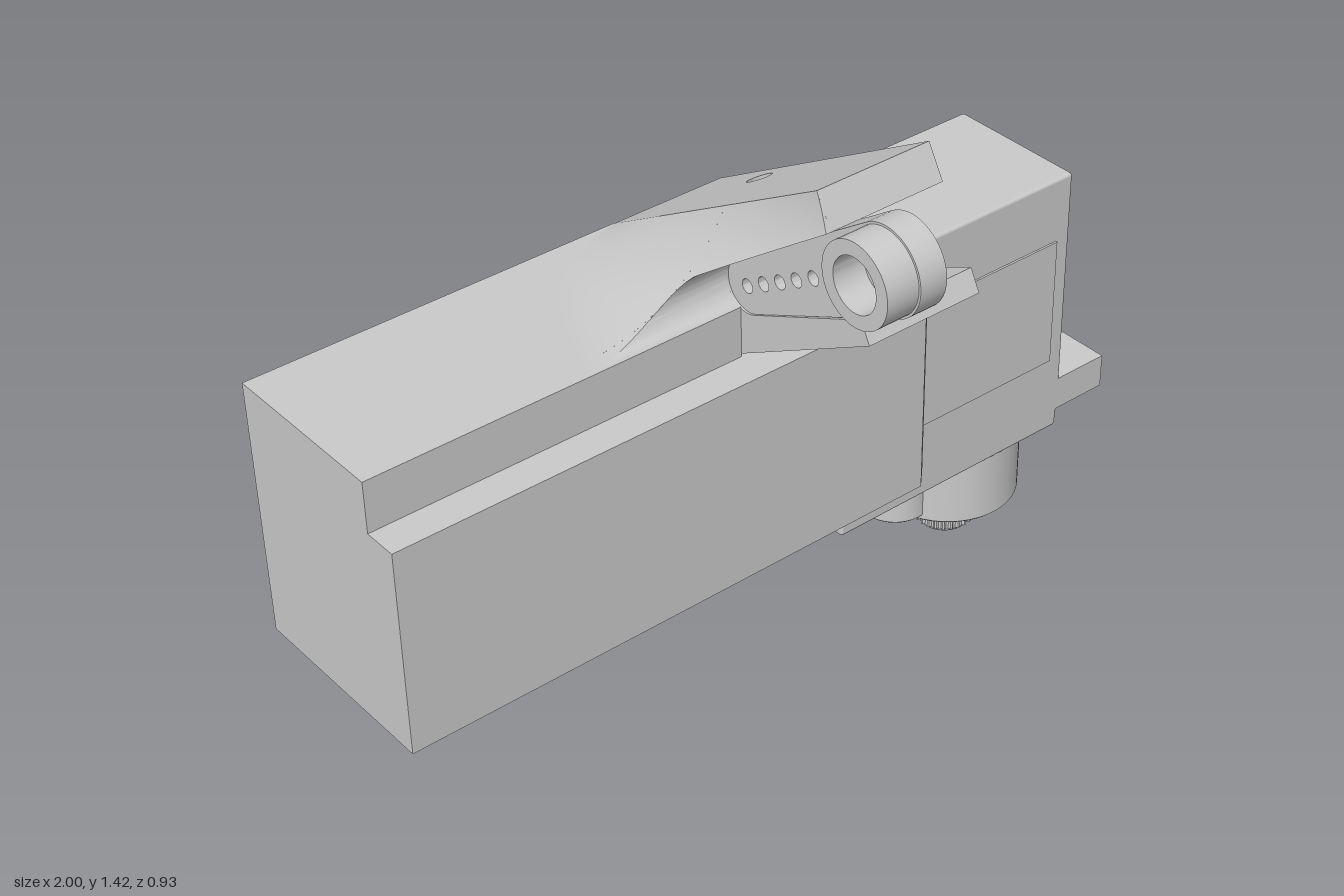
import * as THREE from 'three';
import { toCreasedNormals } from 'three/addons/utils/BufferGeometryUtils.js';
import { RoundedBoxGeometry } from 'three/addons/geometries/RoundedBoxGeometry.js';

const V = (x, y) => new THREE.Vector2(x, y);
const circle = (x, y, r) => new THREE.Path().absarc(x, y, r, 0, Math.PI * 2, true);
const shapeOf = (pts, holes = []) => {
  const s = new THREE.Shape(pts.map(p => V(p[0], p[1])));
  s.holes = holes;
  return s;
};
const extrude = (shape, depth) =>
  new THREE.ExtrudeGeometry(shape, { depth, bevelEnabled: false, curveSegments: 24 });

// Shape drawn in (z, y), extruded from x0 to x1
const alongX = (shape, x0, x1) =>
  toCreasedNormals(extrude(shape, x1 - x0).rotateY(-Math.PI / 2).translate(x1, 0, 0), 0.5);
// Shape drawn in (x, -z), extruded from y0 to y1
const alongY = (shape, y0, y1) => extrude(shape, y1 - y0).rotateX(-Math.PI / 2).translate(0, y0, 0);

// Sloped tower top and the arm outline, which is also the pocket outline
const topY = 1.03, R = 0.404;
const slant = z => topY + (z + 0.465) * 0.5845;
const towerTop = z => Math.min(slant(z), 1.407 - (z - 0.18) * 1.732);
const big = { z: 0.37, y: 1.32, r: 0.097 }, small = { z: -0.035, y: 1.085, r: 0.06 };
const dz = big.z - small.z, dy = big.y - small.y;
const axis = Math.atan2(dy, dz);
const half = Math.acos((small.r - big.r) / Math.hypot(dz, dy));
const upper = axis + half, lower = axis - half; // tangent point directions
const arc = (c, a, b, n = 20) => Array.from({ length: n + 1 }, (_, i) => {
  const t = a + (b - a) * i / n;
  return [c.z + c.r * Math.cos(t), c.y + c.r * Math.sin(t)];
});

// Concave fillet skin through sections [z, low y, high y]
function filletSkin(sections) {
  const rows = sections.map(([z, low, high]) => {
    const h = slant(z), reach = y => Math.sqrt(Math.max(0, R * R - (R - (y - topY)) ** 2));
    const row = [[-0.1, low, z]];
    for (let i = 0; i <= 20; i++) {
      const y = low + (high - low) * (i / 20) ** 2;
      row.push([-0.1 - Math.max(0, reach(h) - reach(y)), y, z]);
    }
    row.push([-0.1, high, z]);
    return row;
  });
  const index = [], n = rows[0].length;
  for (let j = 0; j < rows.length - 1; j++)
    for (let i = 0; i < n - 1; i++) {
      const a = j * n + i, b = a + n;
      index.push(a, b, a + 1, a + 1, b, b + 1);
    }
  const g = new THREE.BufferGeometry();
  g.setAttribute('position', new THREE.Float32BufferAttribute(rows.flat(2), 3));
  g.setIndex(index);
  return toCreasedNormals(g, 0.6);
}

export function createModel() {
  const model = new THREE.Group();
  const grey = new THREE.MeshStandardMaterial({ color: 0xcacaca });
  grey.name = 'light grey';
  const add = (name, geometry) => {
    const m = new THREE.Mesh(geometry, grey);
    m.name = name;
    model.add(m);
  };
  const box = (name, x0, x1, y0, y1, z0, z1, r = 0) => {
    const s = [x1 - x0, y1 - y0, z1 - z0];
    const g = r ? new RoundedBoxGeometry(...s, 2, r) : new THREE.BoxGeometry(...s);
    add(name, g.translate((x0 + x1) / 2, (y0 + y1) / 2, (z0 + z1) / 2));
  };

  // Long body and front plate with one chamfered corner
  box('body', -1, -0.1, 0.415, topY, -0.467, -0.05);
  add('frontPlate', alongY(shapeOf([[-1, 0.063], [-1, -0.03], [0.335, -0.03], [0.375, 0.01],
    [0.375, 0.063]]), 0.415, 0.91));

  // Rear of the tower, with a vertical screw hole and a sloped top
  const rear = alongY(shapeOf([[-0.1, 0.12], [0.185, 0.12], [0.185, 0.467], [-0.1, 0.467]],
    [circle(0.115, 0.25, 0.027)]), 0.415, topY);
  const p = rear.attributes.position;
  for (let i = 0; i < p.count; i++) if (p.getY(i) > 0.9) p.setY(i, slant(p.getZ(i)));
  rear.computeVertexNormals();
  add('towerRear', toCreasedNormals(rear, 0.5));

  // Front of the tower, with a pocket shaped like the arm
  add('towerFront', alongX(shapeOf([[-0.12, 0.415], [-0.063, 0.415], [-0.063, 0.91],
    [0.335, 1.135], [0.31, 1.182], ...arc(small, lower, upper - Math.PI * 2),
    [0.2218, 1.335], [0.18, 1.407], [-0.12, slant(-0.12)]]), -0.1, 0.185));

  // Fillet beside the tower: behind, above and below the pocket
  const z0 = small.z - small.r, behind = [];
  for (let j = 0; j <= 24; j++) {
    const z = -0.465 + (z0 + 0.465) * j / 24;
    behind.push([z, topY, slant(z)]);
  }
  add('filletRear', filletSkin(behind));
  const above = arc(small, Math.PI, upper, 10).map(([z, y]) => [z, y, slant(z)]);
  const [tz, ty] = above[10];
  for (const end of [0.18, 0.2218]) {
    const start = above[above.length - 1][0];
    for (let j = 1; j <= 10; j++) {
      const z = start + (end - start) * j / 10, low = ty + (z - tz) * 0.69;
      above.push([z, low, Math.max(low, towerTop(z))]);
    }
  }
  add('filletUpper', filletSkin(above));
  add('filletLower', filletSkin(arc(small, Math.PI, Math.PI * 1.42, 10)
    .map(([z, y]) => [z, topY, Math.max(topY, y)])));

  // Lever arm with its row of holes and hub
  const holes = [circle(big.z, big.y, 0.034)];
  for (let i = 0; i < 7; i++)
    holes.push(circle(-0.035 + 0.05 * i, 1.085 + 0.0292 * i, 0.016));
  add('arm', alongX(shapeOf([...arc(big, lower, upper, 32),
    ...arc(small, upper, lower + Math.PI * 2)], holes), -0.095, -0.03));
  const hub = new THREE.Shape().absarc(big.z, big.y, 0.092, 0, Math.PI * 2);
  hub.holes = [circle(big.z, big.y, 0.06)];
  add('armHub', alongX(hub, -0.172, -0.09));

  // Motor case, side panels and lower lip
  box('motorCase', 0.19, 0.862, 0.32, 0.96, -0.425, -0.073, 0.008);
  box('motorLip', 0.195, 0.857, 0.282, 0.345, -0.425, -0.073, 0.008);
  box('frontPanel', 0.225, 0.82, 0.48, 0.8, -0.074, -0.068);
  box('backPanel', 0.225, 0.82, 0.48, 0.8, -0.43, -0.424);

  // Mounting ears with keyhole slots, mirrored about the motor centre
  for (const side of [1, -1]) {
    const pts = [[0.3, 0.073], [0.475, 0.073], [0.475, 0.234]];
    for (let i = 0; i <= 24; i++) {
      const t = -0.6 - (Math.PI * 2 - 1.2) * i / 24;
      pts.push([0.415 + 0.028 * Math.cos(t), 0.25 + 0.028 * Math.sin(t)]);
    }
    pts.push([0.475, 0.266], [0.475, 0.425], [0.3, 0.425]);
    add(side > 0 ? 'leftEar' : 'rightEar', toCreasedNormals(
      alongY(shapeOf(pts.map(([d, y]) => [0.525 + side * d, y])), 0.328, 0.412), 0.5));
  }

  // Three connector pins
  for (const z of [-0.21, -0.248, -0.285])
    add('pin', new THREE.CylinderGeometry(0.017, 0.017, 0.08, 20)
      .rotateZ(Math.PI / 2).translate(0.882, 0.817, z));

  // Gear housing, idler housing and toothed output shaft
  const turned = (name, x, pts) =>
    add(name, toCreasedNormals(new THREE.LatheGeometry(pts.map(q => V(q[0], q[1])), 48)
      .translate(x, 0, -0.25), 0.5));
  turned('gearHousing', 0.677, [[0, 0.106], [0.165, 0.106], [0.171, 0.112], [0.171, 0.29]]);
  turned('idlerHousing', 0.515, [[0, 0.12], [0.08, 0.12], [0.085, 0.125], [0.085, 0.29]]);
  turned('shaftCore', 0.677, [[0, 0.07], [0.032, 0.07], [0.032, 0], [0.06, 0], [0.067, 0.012],
    [0.067, 0.112]]);
  const teeth = [];
  for (let i = 0; i < 96; i++) {
    const r = i % 4 < 2 ? 0.073 : 0.066, t = i / 96 * Math.PI * 2;
    teeth.push([0.677 + r * Math.cos(t), 0.25 + r * Math.sin(t)]);
  }
  add('shaftTeeth', alongY(shapeOf(teeth, [circle(0.677, 0.25, 0.05)]), 0.012, 0.097));

  return model;
}
